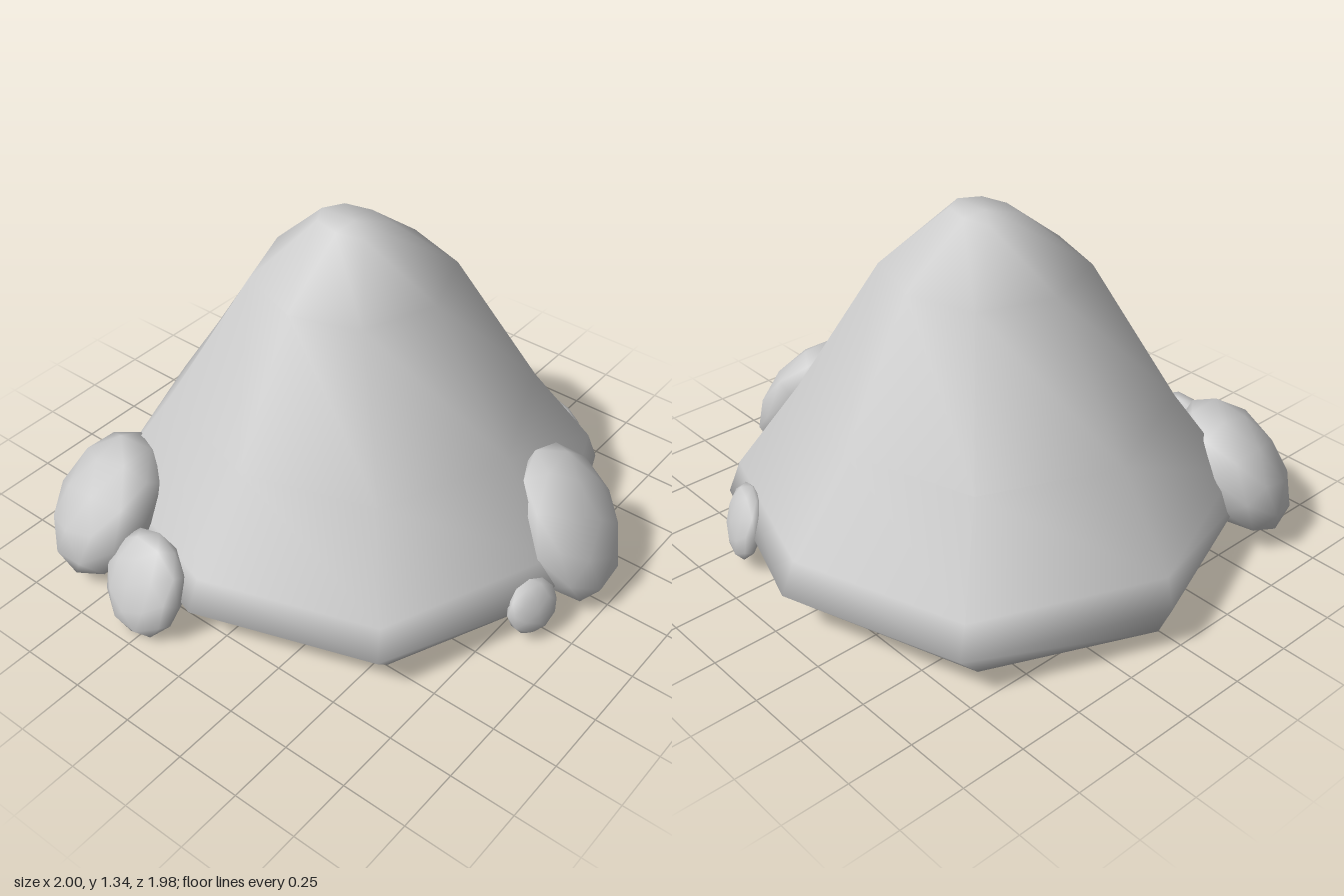
import * as THREE from 'three';
import { mergeVertices } from 'three/addons/utils/BufferGeometryUtils.js';

const material = new THREE.MeshStandardMaterial({ color: 0xcccccc });

// Weld shared corners so the whole surface shades smoothly
function smooth(geometry) {
  geometry.deleteAttribute('uv');
  geometry.deleteAttribute('normal');
  const welded = mergeVertices(geometry, 1e-4);
  welded.computeVertexNormals();
  return welded;
}

// Eight-sided mound: each ring is [height, x radius, z radius]
function createMound() {
  const rings = [
    [0.065, 0, 0], [0.065, 0.89, 0.79], [0.19, 0.945, 0.935], [0.31, 0.915, 0.88],
    [0.64, 0.69, 0.64], [1.15, 0.36, 0.36], [1.35, 0.145, 0.1], [1.35, 0, 0],
  ];
  const geometry = new THREE.LatheGeometry(rings.map(([y, r]) => new THREE.Vector2(r, y)), 8);
  const p = geometry.attributes.position;
  for (let i = 0; i < p.count; i++) {
    const [, rx, rz] = rings[i % rings.length];
    if (rx === 0) continue;
    // diagonal corners sit a little further out along z
    const diagonal = Math.abs(p.getX(i)) > rx * 0.5 && Math.abs(p.getZ(i)) > rx * 0.5;
    p.setZ(i, p.getZ(i) * (rz / rx) * (diagonal ? 1.075 : 1));
  }
  const mound = new THREE.Mesh(smooth(geometry), material);
  mound.position.set(-0.055, 0, -0.06);
  mound.name = 'mound';
  return mound;
}

// Flattened boulder leaning on the slope; size is [width, length, thickness] as radii
function createBoulder(name, position, outward, tilt, size) {
  const boulder = new THREE.Mesh(smooth(new THREE.IcosahedronGeometry(1, 1)), material);
  boulder.name = name;
  boulder.position.set(...position);
  boulder.scale.set(...size).multiplyScalar(1.02);
  boulder.rotation.set(-THREE.MathUtils.degToRad(tilt), Math.atan2(outward[0], outward[1]), 0, 'YXZ');
  return boulder;
}

export function createModel() {
  const group = new THREE.Group();
  group.name = 'rockMound';
  group.add(
    createMound(),
    createBoulder('largeFrontBoulder', [-0.63, 0.27, 0.7], [-0.65, 0.76], 37, [0.28, 0.285, 0.17]),
    createBoulder('smallFrontBoulder', [-0.28, 0.19, 0.865], [-0.1, 1], 25, [0.18, 0.2, 0.09]),
    createBoulder('largeSideBoulder', [0.805, 0.32, -0.235], [1, -0.1], 30, [0.235, 0.305, 0.14]),
    createBoulder('sidePebble', [0.855, 0.155, 0.06], [0.93, 0.36], 15, [0.105, 0.108, 0.045]),
    createBoulder('backPebble', [0.405, 0.19, -0.84], [0.31, -0.95], 15, [0.13, 0.145, 0.055]),
  );
  return group;
}
